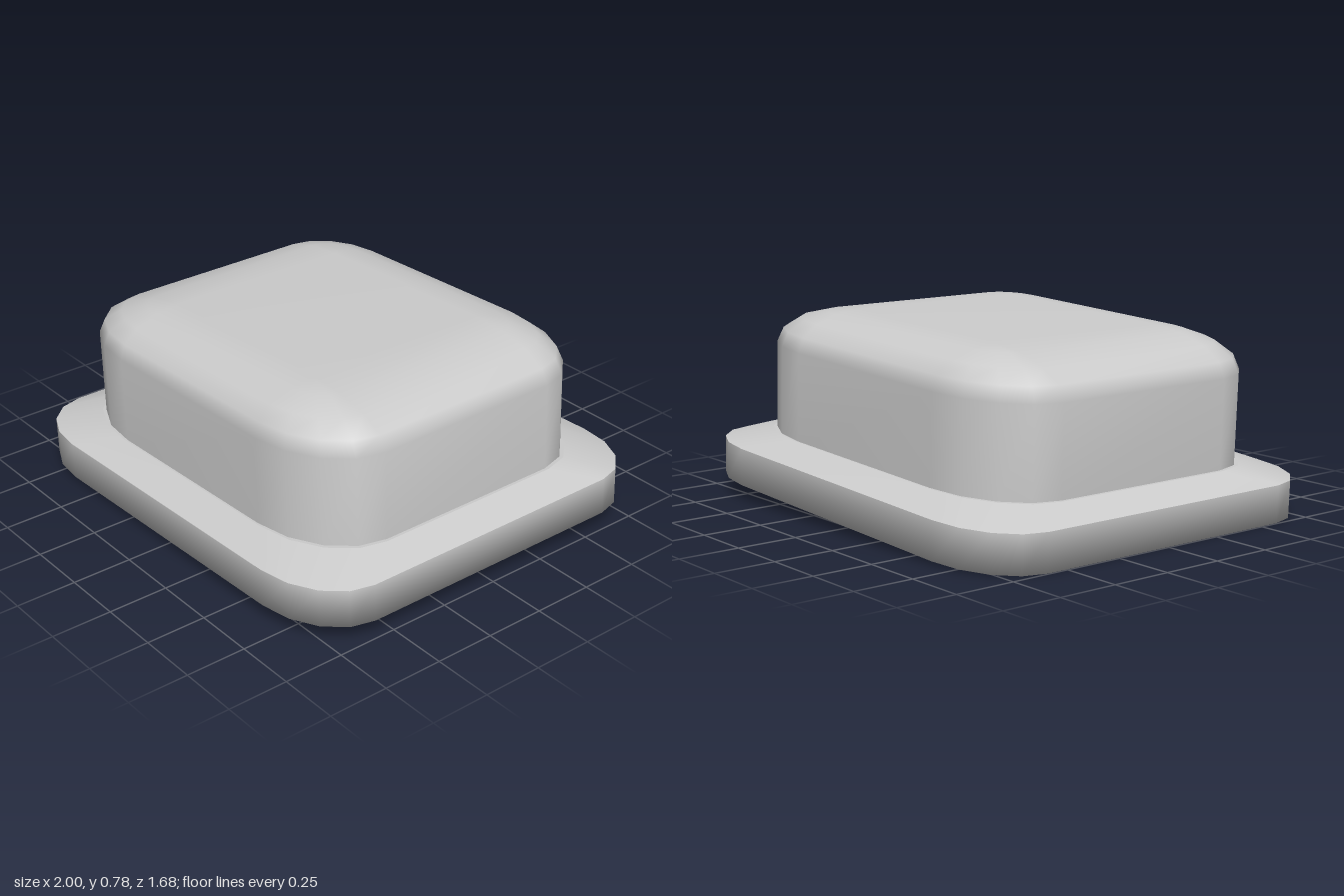
import * as THREE from 'three';
import { mergeVertices } from 'three/addons/utils/BufferGeometryUtils.js';

const SEG = 4; // facets per rounded corner

// Rounded rectangle with elliptical corners, at height y
function ring([y, hx, hz, rx, rz]) {
  const points = [];
  for (let q = 0; q < 4; q++) {
    const sx = q === 0 || q === 3 ? 1 : -1;
    const sz = q < 2 ? 1 : -1;
    for (let i = 0; i <= SEG; i++) {
      const t = (q + i / SEG) * Math.PI / 2;
      points.push([sx * (hx - rx) + rx * Math.cos(t), y, sz * (hz - rz) + rz * Math.sin(t)]);
    }
  }
  return points;
}

// Skin stacked rings from bottom to top with smooth normals
function loft(sections) {
  const rings = sections.map(ring);
  const n = rings[0].length;
  const index = [];
  for (let j = 0; j < rings.length - 1; j++) {
    for (let i = 0; i < n; i++) {
      const a = j * n + i, b = j * n + (i + 1) % n;
      index.push(a, a + n, b, b, a + n, b + n);
    }
  }
  const geo = new THREE.BufferGeometry();
  geo.setAttribute('position', new THREE.Float32BufferAttribute(rings.flat(2), 3));
  geo.setIndex(index);
  const merged = mergeVertices(geo, 1e-4);
  merged.computeVertexNormals();
  return merged;
}

export function createModel() {
  const group = new THREE.Group();
  const material = new THREE.MeshStandardMaterial({ color: 0xcccccc });

  // Everything leans slightly, rising towards +x
  const body = new THREE.Group();
  body.name = 'tiltedBody';
  body.rotation.z = Math.atan(0.04);
  body.position.set(0.003, 0.04, 0);
  group.add(body);

  const add = (name, sections) => {
    const mesh = new THREE.Mesh(loft(sections), material);
    mesh.name = name;
    body.add(mesh);
  };

  // Base plate: underside and wall, then a separate bevel for a crisp rim
  const rim = [0.998, 0.838, 0.35, 0.25];
  const inner = [0.865, 0.705, 0.4, 0.29];
  add('basePlate', [[0, 0, 0, 0, 0], [0, ...rim], [0.193, ...rim]].map((s, i) => (i === 2 ? [0.153, ...rim] : s)));
  add('baseBevel', [[0.153, ...rim], [0.207, ...inner]]);
  add('baseTop', [[0.207, ...inner], [0.207, 0, 0, 0, 0]]);

  // Cap: straight wall, ellipsoidal shoulder, flat top
  const hx = 0.852, hz = 0.697, rx = 0.41, ry = 0.155, rz = 0.29, wallTop = 0.57;
  const cap = [[0.19, hx, hz, rx, rz]];
  for (let i = 0; i <= SEG; i++) {
    const t = i / SEG * Math.PI / 2, c = Math.cos(t);
    cap.push([wallTop + ry * Math.sin(t), hx - rx * (1 - c), hz - rz * (1 - c), rx * c, rz * c]);
  }
  cap.push([wallTop + ry, 0, 0, 0, 0]);
  add('cap', cap);

  return group;
}
